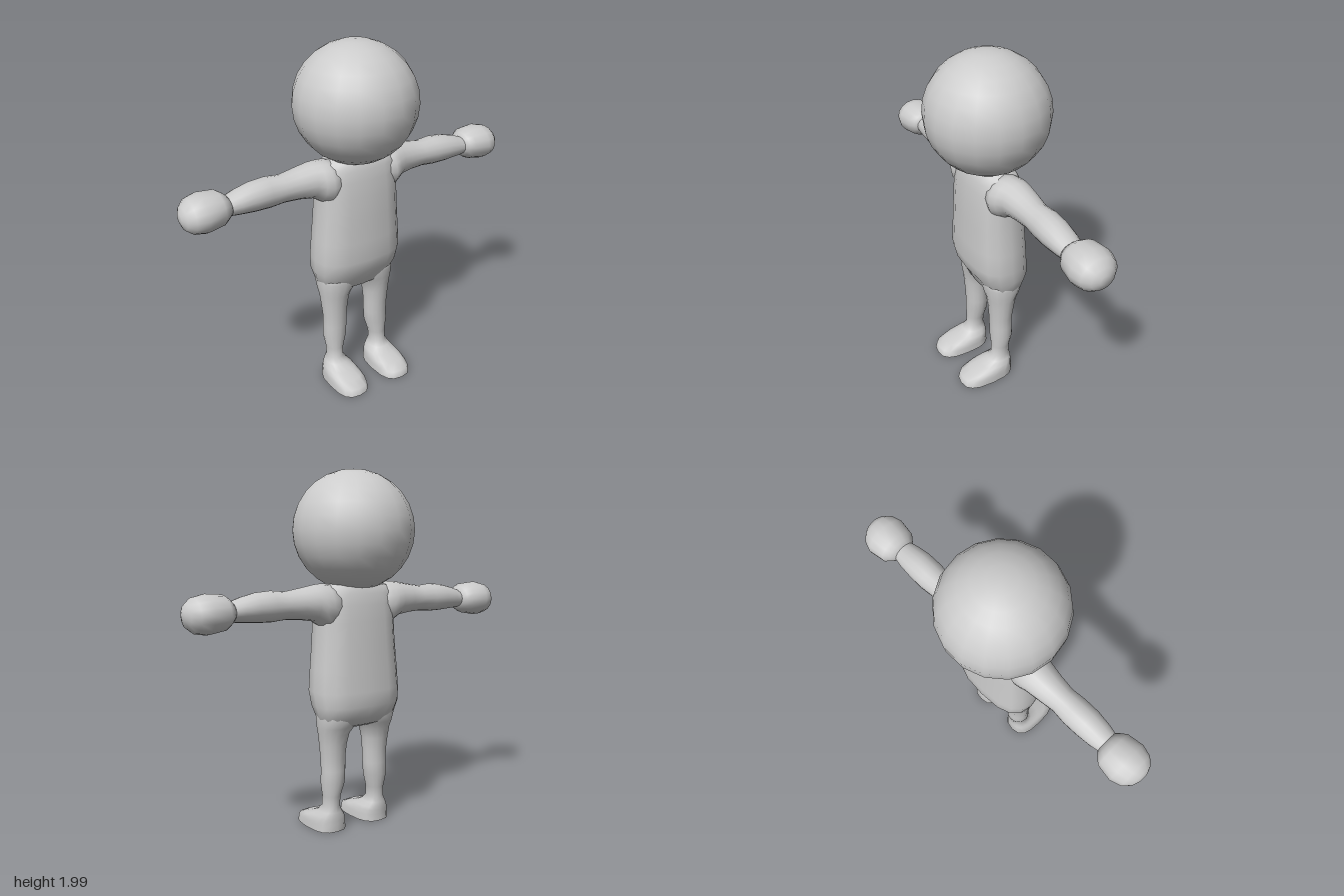
import * as THREE from 'three';

const SIDES = 16;
const material = new THREE.MeshStandardMaterial({ color: 0xcccccc, roughness: 0.8 });

// Skin a row of closed rings with smooth normals; both ends are capped.
// Each row: [position along axis, min a, max a, min b, max b, squareness (2 = ellipse)]
// axis 'y': a = x, b = z.  axis 'x': a = z, b = y.
function loft(rows, axis) {
  const pos = [], index = [];
  const put = (t, a, b) => (axis === 'y' ? pos.push(a, t, b) : pos.push(t, b, a));
  const bend = (v, n) => Math.sign(v) * Math.abs(v) ** (2 / n);
  for (const [t, a0, a1, b0, b1, n = 2] of rows) {
    for (let i = 0; i < SIDES; i++) {
      const q = (i / SIDES) * Math.PI * 2;
      put(t, (a0 + a1) / 2 + ((a1 - a0) / 2) * bend(Math.cos(q), n),
        (b0 + b1) / 2 + ((b1 - b0) / 2) * bend(Math.sin(q), n));
    }
  }
  const ends = [rows[0], rows[rows.length - 1]];
  for (const [t, a0, a1, b0, b1] of ends) put(t, (a0 + a1) / 2, (b0 + b1) / 2);
  const first = rows.length * SIDES, top = (rows.length - 1) * SIDES;
  for (let i = 0; i < SIDES; i++) {
    const j = (i + 1) % SIDES;
    for (let r = 0; r < top; r += SIDES) {
      const a = r + i, b = r + j, c = a + SIDES, d = b + SIDES;
      index.push(a, c, b, b, c, d);
    }
    index.push(first, i, j, first + 1, top + j, top + i);
  }
  const geo = new THREE.BufferGeometry();
  geo.setAttribute('position', new THREE.Float32BufferAttribute(pos, 3));
  geo.setIndex(index);
  geo.computeVertexNormals();
  return geo;
}

// Mirror across x = 0, keeping the faces turned outward
function mirrored(geo) {
  const out = geo.clone().scale(-1, 1, 1);
  const ix = out.index.array;
  for (let i = 0; i < ix.length; i += 3) [ix[i], ix[i + 1]] = [ix[i + 1], ix[i]];
  out.computeVertexNormals();
  return out;
}

export function createModel() {
  const model = new THREE.Group();
  const add = (name, geo) => {
    const mesh = new THREE.Mesh(geo, material);
    mesh.name = name;
    model.add(mesh);
  };
  const addPair = (name, geo) => {
    add('left' + name, geo);
    add('right' + name, mirrored(geo));
  };

  // Head: large, slightly flattened ball
  const head = new THREE.SphereGeometry(0.335, 18, 14);
  head.scale(1, 0.975, 1).translate(0, 1.667, 0);
  add('head', head);

  // Torso, from crotch to neck
  add('torso', loft([
    [0.59, -0.14, 0.14, -0.07, 0.05],
    [0.61, -0.21, 0.21, -0.115, 0.08, 2.4],
    [0.65, -0.24, 0.24, -0.145, 0.095, 2.6],
    [0.72, -0.258, 0.258, -0.175, 0.135, 2.7],
    [0.80, -0.265, 0.265, -0.17, 0.155, 2.7],
    [0.92, -0.257, 0.257, -0.162, 0.15, 2.7],
    [1.06, -0.245, 0.245, -0.153, 0.146, 2.7],
    [1.18, -0.24, 0.24, -0.145, 0.14, 2.7],
    [1.27, -0.24, 0.24, -0.137, 0.13, 2.6],
    [1.33, -0.235, 0.235, -0.125, 0.12, 2.5],
    [1.37, -0.21, 0.21, -0.11, 0.105, 2.3],
    [1.386, -0.14, 0.14, -0.1, 0.095],
    [1.43, -0.12, 0.12, -0.1, 0.095],
  ], 'y'));

  // Arms, straight out to the sides
  addPair('Arm', loft([
    [0.12, -0.11, 0.1, 1.17, 1.375],
    [0.20, -0.125, 0.115, 1.14, 1.386],
    [0.24, -0.122, 0.1, 1.165, 1.386],
    [0.28, -0.115, 0.082, 1.19, 1.382],
    [0.36, -0.105, 0.068, 1.202, 1.368],
    [0.45, -0.092, 0.058, 1.207, 1.354],
    [0.53, -0.1, 0.065, 1.2, 1.362],
    [0.62, -0.098, 0.066, 1.202, 1.355],
    [0.70, -0.09, 0.058, 1.208, 1.335],
    [0.77, -0.075, 0.045, 1.215, 1.31],
    [0.80, -0.07, 0.045, 1.22, 1.305],
  ], 'x'));

  // Rounded fists
  addPair('Hand', loft([
    [0.745, -0.075, 0.045, 1.22, 1.31],
    [0.77, -0.105, 0.065, 1.195, 1.335],
    [0.80, -0.132, 0.088, 1.175, 1.355],
    [0.89, -0.146, 0.102, 1.16, 1.362],
    [0.95, -0.125, 0.085, 1.17, 1.348],
    [0.985, -0.085, 0.05, 1.198, 1.318],
    [1.0, -0.045, 0.01, 1.235, 1.285],
  ], 'x'));

  // Legs with feet; the doubled first ring keeps the sole edge sharp
  addPair('Leg', loft([
    [0, 0.05, 0.25, -0.06, 0.272, 2.8],
    [0, 0.05, 0.25, -0.06, 0.272, 2.8],
    [0.04, 0.052, 0.248, -0.06, 0.262, 2.7],
    [0.065, 0.058, 0.242, -0.06, 0.205, 2.6],
    [0.085, 0.068, 0.232, -0.06, 0.14, 2.4],
    [0.11, 0.09, 0.215, -0.058, 0.085, 2.3],
    [0.14, 0.104, 0.202, -0.052, 0.06],
    [0.20, 0.1, 0.202, -0.055, 0.055],
    [0.28, 0.077, 0.216, -0.073, 0.06],
    [0.35, 0.072, 0.213, -0.072, 0.06],
    [0.42, 0.071, 0.215, -0.072, 0.063],
    [0.50, 0.064, 0.223, -0.082, 0.069],
    [0.56, 0.05, 0.23, -0.095, 0.077],
    [0.60, 0.025, 0.236, -0.112, 0.084, 2.2],
    [0.65, 0.0, 0.24, -0.13, 0.09, 2.3],
    [0.72, 0.0, 0.24, -0.13, 0.09, 2.3],
  ], 'y'));

  return model;
}
